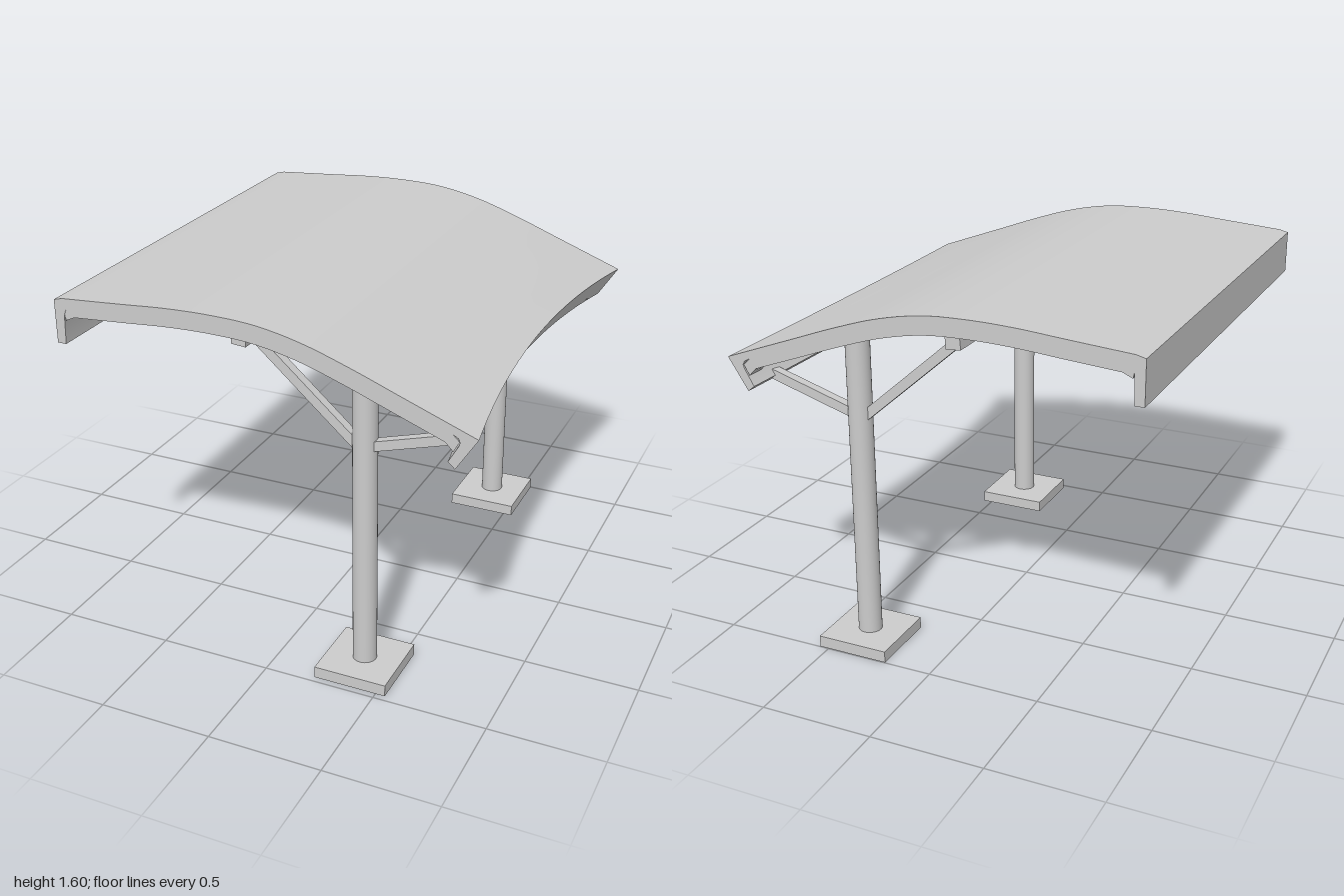
import * as THREE from 'three';
import { toCreasedNormals } from 'three/addons/utils/BufferGeometryUtils.js';

const material = new THREE.MeshStandardMaterial({ color: 0xcccccc, side: THREE.DoubleSide });
const Z_FRONT = 1, Z_BACK = -0.985;

const v2 = ([x, y]) => new THREE.Vector2(x, y);
const smoothLine = (pts, n) => new THREE.SplineCurve(pts.map(v2)).getPoints(n);

// Roof arc (upper side), running from the upright edge to the drooping edge
const topArc = smoothLine([[-0.88, 1.56], [-0.6, 1.58], [-0.4, 1.595], [-0.2, 1.6], [0, 1.59],
  [0.2, 1.55], [0.4, 1.485], [0.6, 1.41], [0.8, 1.335], [0.92, 1.29]], 40);

// Arc lowered along its normal, kept between two x limits
function loweredArc(depth, xMin, xMax) {
  return topArc.map((p, i) => {
    const a = topArc[Math.max(i - 1, 0)], b = topArc[Math.min(i + 1, topArc.length - 1)];
    const t = b.clone().sub(a).normalize();
    return new THREE.Vector2(p.x + t.y * depth, p.y - t.x * depth);
  }).filter(p => p.x > xMin && p.x < xMax);
}

// Extrude a profile along z, then sweep its drooping edge inwards at mid span
function roofPart(points, zMin, zMax, steps) {
  const geo = new THREE.ExtrudeGeometry(new THREE.Shape(points), { depth: zMax - zMin, steps, bevelEnabled: false });
  geo.translate(0, 0, zMin);
  const pos = geo.attributes.position;
  for (let i = 0; i < pos.count; i++) {
    const w = THREE.MathUtils.clamp((pos.getX(i) - 0.4) / 0.35, 0, 1) * (1 - pos.getZ(i) ** 2);
    pos.setX(i, pos.getX(i) - 0.08 * w);
    pos.setY(i, pos.getY(i) + 0.04 * w);
  }
  return toCreasedNormals(geo, 0.5);
}

function add(parent, geo, name, x = 0, y = 0, z = 0) {
  const mesh = new THREE.Mesh(geo, material);
  mesh.name = name;
  mesh.position.set(x, y, z);
  parent.add(mesh);
  return mesh;
}

// Square bar between two points in the xy plane
function bar(parent, name, [x0, y0], [x1, y1], size) {
  const mesh = add(parent, new THREE.BoxGeometry(Math.hypot(x1 - x0, y1 - y0), size, size),
    name, (x0 + x1) / 2, (y0 + y1) / 2);
  mesh.rotation.z = Math.atan2(y1 - y0, x1 - x0);
}

export function createModel() {
  const model = new THREE.Group();
  model.name = 'canopyShelter';

  // Roof sheet with a turned-down lip at both edges
  const sheet = [
    [-0.92, 1.36], [-0.92, 1.55]].map(v2).concat(topArc,
    [[0.83, 1.15], [0.8, 1.175], [0.843, 1.25], [0.847, 1.265], [0.84, 1.28], [0.82, 1.292]].map(v2),
    loweredArc(0.032, -0.82, 0.8).reverse(),
    [[-0.845, 1.526], [-0.866, 1.513], [-0.875, 1.49], [-0.88, 1.36]].map(v2));
  add(model, roofPart(sheet, Z_BACK, Z_FRONT, 24), 'roofSheet');

  // Arched ribs under the sheet
  const ribProfile = [[-0.87, 1.465], [-0.875, 1.49], [-0.866, 1.513], [-0.845, 1.53]].map(v2).concat(
    loweredArc(0.028, -0.82, 0.82),
    [[0.845, 1.265], [0.82, 1.22]].map(v2),
    loweredArc(0.08, -0.84, 0.79).reverse());
  const ribs = new THREE.Group();
  ribs.name = 'roofRibs';
  model.add(ribs);
  const ribCount = 13, ribWidth = 0.07;
  for (let i = 0; i < ribCount; i++) {
    const z = Z_BACK + 0.002 + i * (Z_FRONT - Z_BACK - ribWidth - 0.004) / (ribCount - 1);
    add(ribs, roofPart(ribProfile, z, z + ribWidth, 1), 'rib');
  }

  // Two supports: hollow foot plate, post, braces and end block
  for (const z of [0.81, -0.835]) {
    const support = new THREE.Group();
    support.name = 'support';
    support.position.z = z;
    model.add(support);

    const plate = new THREE.BoxGeometry(0.325, 0.052, 0.325);
    const index = Array.from(plate.index.array);
    index.splice(18, 6); // open underside
    plate.setIndex(index);
    plate.clearGroups();
    add(support, plate, 'footPlate', 0.38, 0.026);

    add(support, new THREE.CylinderGeometry(0.052, 0.052, 1.4, 32), 'post', 0.38, 0.745);
    bar(support, 'longBrace', [0.36, 1.06], [-0.11, 1.475], 0.042);
    bar(support, 'shortBrace', [0.38, 1.066], [0.81, 1.195], 0.042);
    add(support, new THREE.BoxGeometry(0.065, 0.06, 0.22), 'endBlock', -0.115, 1.485).rotation.z = -0.08;
  }

  // Bowed beam joining the two end blocks
  const half = 0.76;
  const beam = new THREE.BoxGeometry(0.05, 0.05, half * 2, 1, 1, 36);
  const pos = beam.attributes.position;
  for (let i = 0; i < pos.count; i++) {
    const bow = 1 - (pos.getZ(i) / half) ** 2;
    pos.setX(i, pos.getX(i) - 0.46 * bow);
    pos.setY(i, pos.getY(i) + 0.038 * bow);
  }
  add(model, toCreasedNormals(beam, 0.5), 'bowedBeam', -0.125, 1.487, -0.0125);

  return model;
}
